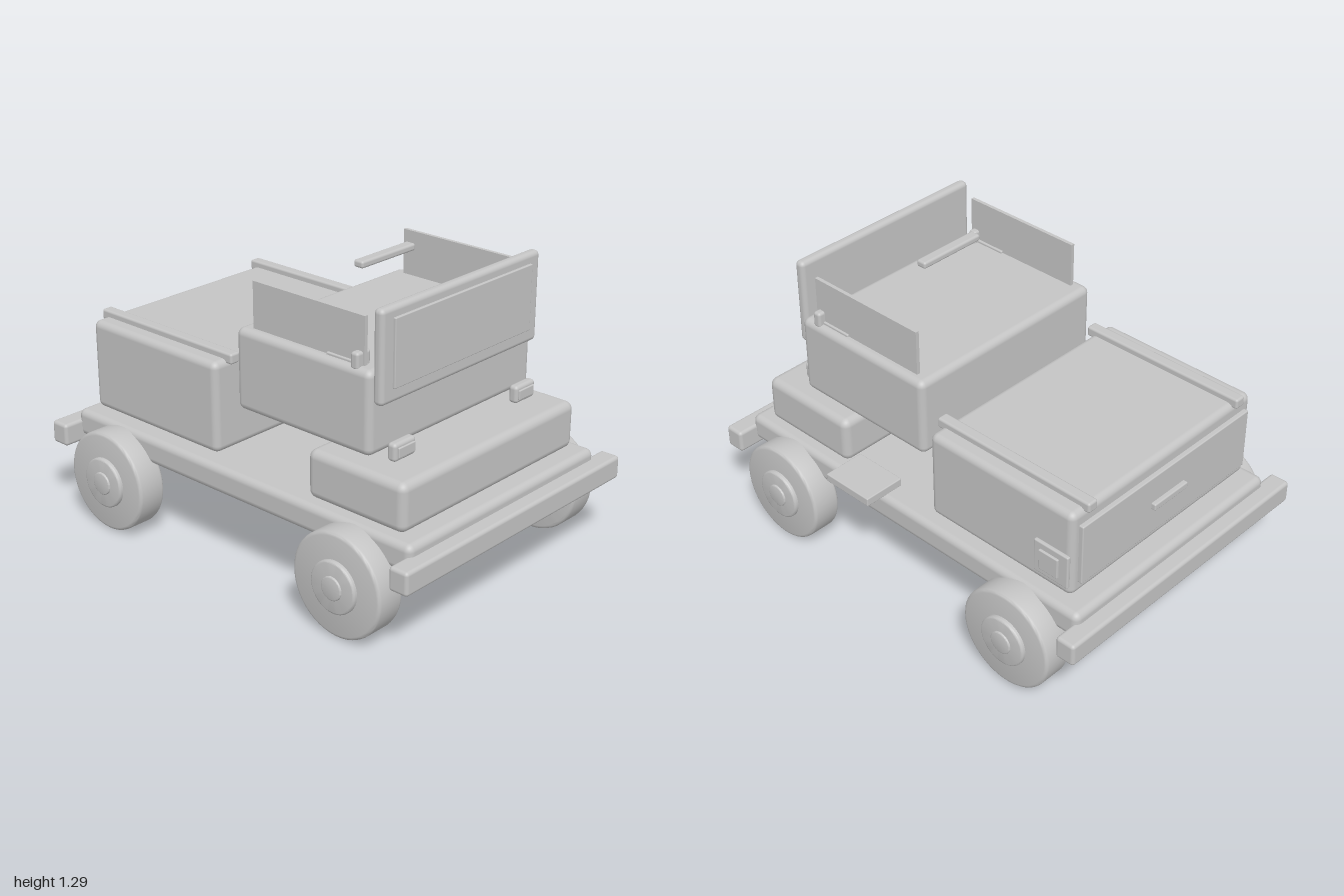
import * as THREE from 'three';
import { toCreasedNormals } from 'three/addons/utils/BufferGeometryUtils.js';
import { RoundedBoxGeometry } from 'three/addons/geometries/RoundedBoxGeometry.js';

export function createModel() {
  const model = new THREE.Group();
  model.name = 'utilityTruck';
  const grey = new THREE.MeshStandardMaterial({ color: 0xc4c4c4 });
  grey.name = 'plainGrey';

  // Box given by its limits on each axis; radius 0 keeps the edges sharp
  function box(name, [x0, x1], [y0, y1], [z0, z1], radius = 0) {
    const size = [x1 - x0, y1 - y0, z1 - z0];
    const geometry = radius
      ? new RoundedBoxGeometry(...size, 3, radius)
      : new THREE.BoxGeometry(...size);
    const mesh = new THREE.Mesh(geometry, grey);
    mesh.name = name;
    mesh.position.set((x0 + x1) / 2, (y0 + y1) / 2, (z0 + z1) / 2);
    model.add(mesh);
  }

  // The same box on both sides of the model
  function pair(name, [x0, x1], y, z, radius) {
    box(name + 'Left', [x0, x1], y, z, radius);
    box(name + 'Right', [-x1, -x0], y, z, radius);
  }

  // Disc along x with rounded rims
  function disc(name, radius, x0, x1, bevel) {
    const points = [new THREE.Vector2(0, x0)];
    for (let i = 0; i <= 3; i++) {
      const a = (i / 3) * Math.PI / 2;
      points.push(new THREE.Vector2(radius - bevel + bevel * Math.sin(a), x0 + bevel - bevel * Math.cos(a)));
    }
    for (let i = 0; i <= 3; i++) {
      const a = (i / 3) * Math.PI / 2;
      points.push(new THREE.Vector2(radius - bevel + bevel * Math.cos(a), x1 - bevel + bevel * Math.sin(a)));
    }
    points.push(new THREE.Vector2(0, x1));
    const geometry = new THREE.LatheGeometry(points, 48).rotateZ(-Math.PI / 2);
    const mesh = new THREE.Mesh(toCreasedNormals(geometry, 0.6), grey);
    mesh.name = name;
    return mesh;
  }

  // Chassis and bumpers
  box('chassis', [-0.585, 0.585], [0.325, 0.445], [-0.935, 0.935], 0.03);
  box('frontBumper', [-0.677, 0.677], [0.3, 0.4], [0.91, 1], 0.015);
  box('rearBumper', [-0.677, 0.677], [0.3, 0.4], [-1, -0.91], 0.015);

  // Wheels
  for (const side of [1, -1]) {
    for (const z of [0.655, -0.655]) {
      const wheel = new THREE.Group();
      wheel.name = (z > 0 ? 'front' : 'rear') + 'Wheel' + (side > 0 ? 'Left' : 'Right');
      wheel.add(
        disc('tyre', 0.22, 0.547, 0.68, 0.015),
        disc('hub', 0.11, 0.66, 0.699, 0.008),
        disc('hubCap', 0.05, 0.68, 0.707, 0.005),
      );
      wheel.position.set(0, 0.22, z);
      if (side < 0) wheel.rotation.y = Math.PI;
      model.add(wheel);
    }
  }

  // Bonnet, cabin and side step
  box('bonnet', [-0.537, 0.537], [0.445, 0.65], [0.375, 0.86], 0.035);
  box('cabin', [-0.495, 0.495], [0.68, 1.025], [-0.042, 0.655], 0.03);
  box('sideStep', [0.48, 0.67], [0.442, 0.48], [0.11, 0.355], 0.005);

  // Windscreen and side windows
  box('windscreenFrame', [-0.475, 0.475], [0.89, 1.27], [0.648, 0.695], 0.02);
  box('windscreenGlass', [-0.413, 0.413], [0.95, 1.228], [0.69, 0.706], 0.004);
  pair('sideWindow', [0.44, 0.456], [1.0, 1.22], [0.02, 0.595]);

  // Mirrors and their arms
  pair('mirrorArm', [0.43, 0.465], [1.01, 1.035], [0.41, 0.58], 0.005);
  pair('mirror', [0.412, 0.487], [1.01, 1.08], [0.55, 0.588], 0.012);

  // Roof bar
  box('roofBar', [-0.16, 0.157], [1.26, 1.29], [0.272, 0.32], 0.01);

  // Headlights
  pair('headlight', [0.31, 0.435], [0.665, 0.74], [0.688, 0.73], 0.015);
  pair('headlightLens', [0.323, 0.418], [0.681, 0.723], [0.72, 0.737], 0.004);

  // Cargo box with roof rails
  box('cargoBox', [-0.537, 0.537], [0.465, 0.858], [-0.86, -0.12], 0.03);
  pair('roofRail', [0.418, 0.468], [0.84, 0.885], [-0.877, -0.097], 0.01);

  // Rear door and handle
  box('rearDoor', [-0.5, 0.5], [0.525, 0.798], [-0.88, -0.85], 0.005);
  box('rearHandle', [-0.1, 0.1], [0.648, 0.678], [-0.9, -0.875], 0.006);

  // Filler panel on the left flank
  box('fillerPanel', [0.556, 0.574], [0.542, 0.692], [-0.873, -0.703], 0.006);
  box('fillerCap', [0.568, 0.584], [0.572, 0.663], [-0.83, -0.735], 0.004);

  return model;
}
